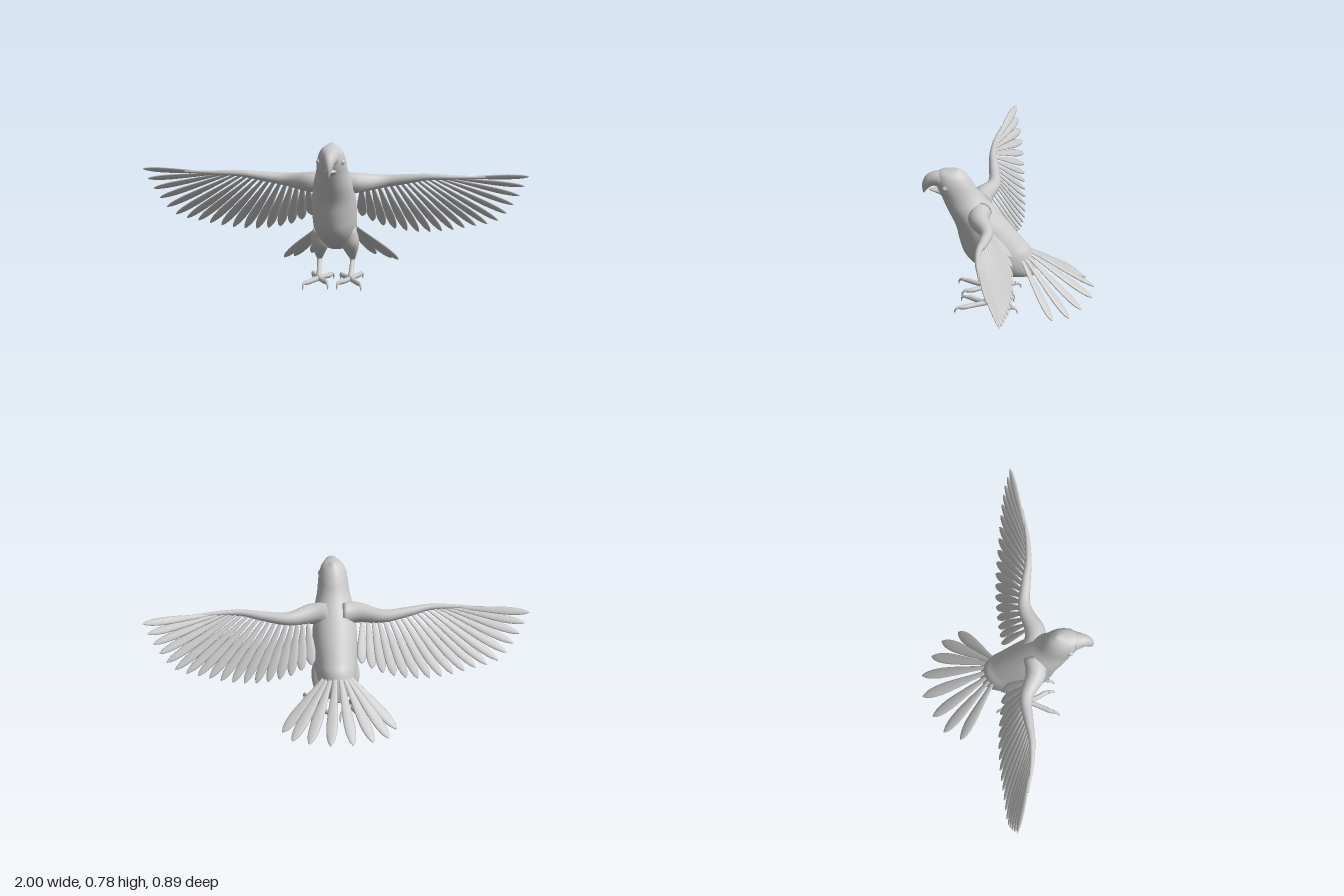
import * as THREE from 'three';

const V = (x, y, z) => new THREE.Vector3(x, y, z);
const material = new THREE.MeshStandardMaterial({ color: 0xcccccc, side: THREE.DoubleSide });

// Smooth closed skin over elliptical sections {c: centre, u, v: half axes}
function loft(name, sections, radial = 16, steps = 4) {
  const spline = (key) => new THREE.CatmullRomCurve3(sections.map((s) => s[key]), false, 'catmullrom', 0.5);
  const [cs, us, vs] = ['c', 'u', 'v'].map(spline);
  const rings = (sections.length - 1) * steps;
  const mid = sections[Math.floor(sections.length / 2)];
  const along = sections.at(-1).c.clone().sub(sections[0].c);
  const flip = mid.u.clone().cross(mid.v).dot(along) < 0 ? -1 : 1;
  const pos = [], index = [];
  for (let i = 0; i <= rings; i++) {
    const t = i / rings, c = cs.getPoint(t), u = us.getPoint(t), v = vs.getPoint(t);
    for (let j = 0; j < radial; j++) {
      const a = (j / radial) * Math.PI * 2;
      const p = c.clone().addScaledVector(u, Math.cos(a)).addScaledVector(v, flip * Math.sin(a));
      pos.push(p.x, p.y, p.z);
    }
  }
  const first = pos.length / 3, last = first + 1;
  pos.push(...sections[0].c.toArray(), ...sections.at(-1).c.toArray());
  for (let j = 0; j < radial; j++) {
    const k = (j + 1) % radial;
    for (let i = 0; i < rings; i++) {
      const a = i * radial + j, b = i * radial + k;
      index.push(a, b, a + radial, b, b + radial, a + radial);
    }
    index.push(first, k, j, last, rings * radial + j, rings * radial + k);
  }
  const geo = new THREE.BufferGeometry();
  geo.setAttribute('position', new THREE.Float32BufferAttribute(pos, 3));
  geo.setIndex(index);
  geo.computeVertexNormals();
  const mesh = new THREE.Mesh(geo, material);
  mesh.name = name;
  return mesh;
}

// Symmetric part from side-profile rows: z, y of one edge, z, y of the other, half width
const profileLoft = (name, rows, radial) => loft(name, rows.map(([z1, y1, z2, y2, w]) => ({
  c: V(0, (y1 + y2) / 2, (z1 + z2) / 2),
  u: V(w, 0, 0),
  v: V(0, (y1 - y2) / 2, (z1 - z2) / 2),
})), radial);

// Tapered limb along rows: x, y, z, radius
function limb(name, rows, ref, radial = 12) {
  const pts = rows.map(([x, y, z]) => V(x, y, z));
  return loft(name, rows.map((row, i) => {
    const d = pts[Math.min(i + 1, pts.length - 1)].clone().sub(pts[Math.max(i - 1, 0)]).normalize();
    const u = ref.clone().addScaledVector(d, -ref.dot(d)).normalize();
    const v = d.clone().cross(u);
    return { c: pts[i], u: u.multiplyScalar(row[3]), v: v.multiplyScalar(row[3]) };
  }), radial);
}

// Flat rounded feather; roll tilts it so neighbours overlap
const FEATHER = [[0, 0.3], [0.25, 0.55], [0.5, 0.85], [0.72, 1], [0.88, 0.8], [0.96, 0.45], [1, 0.1]];
function feather(root, tip, normal, width, thick, roll) {
  const d = tip.clone().sub(root).normalize();
  const side = normal.clone().cross(d).normalize().applyAxisAngle(d, roll);
  const up = d.clone().cross(side);
  return loft('feather', FEATHER.map(([t, w]) => ({
    c: root.clone().lerp(tip, t),
    u: side.clone().multiplyScalar(width * w / 2),
    v: up.clone().multiplyScalar(thick * Math.sqrt(w) / 2),
  })), 10, 2);
}

function createWing(s) {
  const wing = new THREE.Group();
  wing.name = s > 0 ? 'leftWing' : 'rightWing';
  wing.add(limb('wingArm', [
    [0.04, 0.55, 0.14, 0.06], [0.13, 0.55, 0.14, 0.052], [0.25, 0.55, 0.09, 0.034],
    [0.38, 0.567, 0.1, 0.025], [0.49, 0.582, 0.115, 0.017], [0.62, 0.582, 0.112, 0.012],
    [0.78, 0.58, 0.09, 0.004],
  ].map(([x, y, z, r]) => [s * x, y, z, r]), V(0, 1, 0), 16));
  const curve = (rows) => new THREE.CatmullRomCurve3(rows.map(([x, y, z]) => V(s * x, y, z)));
  const roots = curve([[0.14, 0.52, 0.11], [0.25, 0.54, 0.08], [0.38, 0.56, 0.095],
    [0.5, 0.578, 0.11], [0.62, 0.58, 0.11]]);
  const tips = curve([[0.13, 0.34, -0.03], [0.25, 0.285, -0.045], [0.4, 0.258, -0.055],
    [0.55, 0.265, -0.05], [0.7, 0.295, -0.035], [0.84, 0.335, -0.02], [0.935, 0.45, 0], [1, 0.577, 0.03]]);
  const count = 18;
  for (let i = 0; i < count; i++) {
    const t = i / (count - 1);
    wing.add(feather(roots.getPointAt(t), tips.getPointAt(t), V(0, -0.48, 0.87), 0.054 - 0.012 * t, 0.014, s * 0.22));
  }
  return wing;
}

function createLeg(s) {
  const leg = new THREE.Group();
  leg.name = s > 0 ? 'leftLeg' : 'rightLeg';
  const add = (name, rows, radial) =>
    leg.add(limb(name, rows.map(([x, y, z, r]) => [s * x, y, z, r]), V(1, 0, 0), radial));
  add('thigh', [[0.065, 0.3, 0.1, 0.045], [0.075, 0.23, 0.08, 0.05], [0.082, 0.175, 0.05, 0.034],
    [0.085, 0.135, 0.028, 0.018], [0.085, 0.112, 0.022, 0.009]]);
  add('shank', [[0.085, 0.128, 0.02, 0.013], [0.085, 0.105, 0.042, 0.012], [0.083, 0.07, 0.08, 0.012],
    [0.082, 0.035, 0.112, 0.017]]);
  // Two toes point forward and two back, each with a hooked claw
  for (const [x, z] of [[0.143, 0.24], [0.03, 0.215], [0.125, -0.035], [0.025, -0.01]]) {
    const f = Math.sign(z - 0.1), dx = (x - 0.082) * 0.06;
    add('toe', [[0.082, 0.036, 0.1, 0.014], [(0.082 + x) / 2, 0.034, (0.1 + z) / 2, 0.013],
      [x - dx * 3, 0.034, z - f * 0.03, 0.013], [x, 0.034, z, 0.009]], 10);
    add('claw', [[x - dx, 0.036, z - f * 0.008, 0.01], [x + dx, 0.034, z + f * 0.01, 0.007],
      [x + dx * 2, 0.022, z + f * 0.021, 0.005], [x + dx * 2, 0.003, z + f * 0.024, 0.001]], 8);
  }
  return leg;
}

function createTail() {
  const tail = new THREE.Group();
  tail.name = 'tail';
  const rows = [[0.012, 0.31, -0.1, 0.058, 0.075, -0.44], [0.03, 0.305, -0.095, 0.165, 0.064, -0.39],
    [0.045, 0.3, -0.085, 0.25, 0.057, -0.335], [0.055, 0.3, -0.07, 0.295, 0.067, -0.25]];
  for (const s of [1, -1]) {
    for (const [x, y, z, tx, ty, tz] of rows) {
      tail.add(feather(V(s * x, y, z), V(s * tx, ty, tz), V(0, 0.8, -0.6), 0.06, 0.017, s * 0.15));
    }
  }
  return tail;
}

function createEye(s) {
  const eye = new THREE.Group();
  eye.name = s > 0 ? 'leftEye' : 'rightEye';
  const ball = new THREE.Mesh(new THREE.SphereGeometry(0.014, 16, 12), material);
  ball.name = 'eyeball';
  const lid = new THREE.Mesh(new THREE.TorusGeometry(0.015, 0.004, 8, 20), material);
  lid.name = 'eyelid';
  eye.add(ball, lid);
  eye.position.set(s * 0.061, 0.695, 0.322);
  eye.rotation.y = s * 1.1;
  return eye;
}

export function createModel() {
  const bird = new THREE.Group();
  bird.name = 'bird';
  // Head, breast, back and rump in one skin
  bird.add(profileLoft('body', [
    [0.29, 0.779, 0.25, 0.782, 0.012], [0.355, 0.765, 0.212, 0.748, 0.05], [0.375, 0.725, 0.183, 0.705, 0.07],
    [0.365, 0.675, 0.158, 0.658, 0.078], [0.343, 0.625, 0.13, 0.62, 0.084], [0.312, 0.55, 0.085, 0.57, 0.1],
    [0.27, 0.46, 0.03, 0.505, 0.112], [0.25, 0.375, -0.03, 0.43, 0.115], [0.22, 0.288, -0.08, 0.365, 0.113],
    [0.15, 0.22, -0.115, 0.325, 0.105], [0.05, 0.178, -0.135, 0.265, 0.088], [-0.03, 0.167, -0.142, 0.21, 0.062],
    [-0.1, 0.165, -0.14, 0.172, 0.02],
  ], 32));
  // Hooked upper beak and short lower beak
  bird.add(profileLoft('upperBeak', [
    [0.345, 0.766, 0.335, 0.668, 0.052], [0.39, 0.757, 0.37, 0.68, 0.037], [0.425, 0.733, 0.392, 0.676, 0.027],
    [0.442, 0.695, 0.412, 0.661, 0.018], [0.443, 0.66, 0.424, 0.645, 0.009], [0.437, 0.633, 0.433, 0.632, 0.002],
  ], 20));
  bird.add(profileLoft('lowerBeak', [
    [0.325, 0.675, 0.325, 0.615, 0.045], [0.355, 0.665, 0.35, 0.632, 0.03], [0.385, 0.66, 0.38, 0.643, 0.018],
    [0.407, 0.656, 0.405, 0.65, 0.006],
  ], 16));
  for (const s of [1, -1]) bird.add(createEye(s), createWing(s), createLeg(s));
  bird.add(createTail());
  return bird;
}
